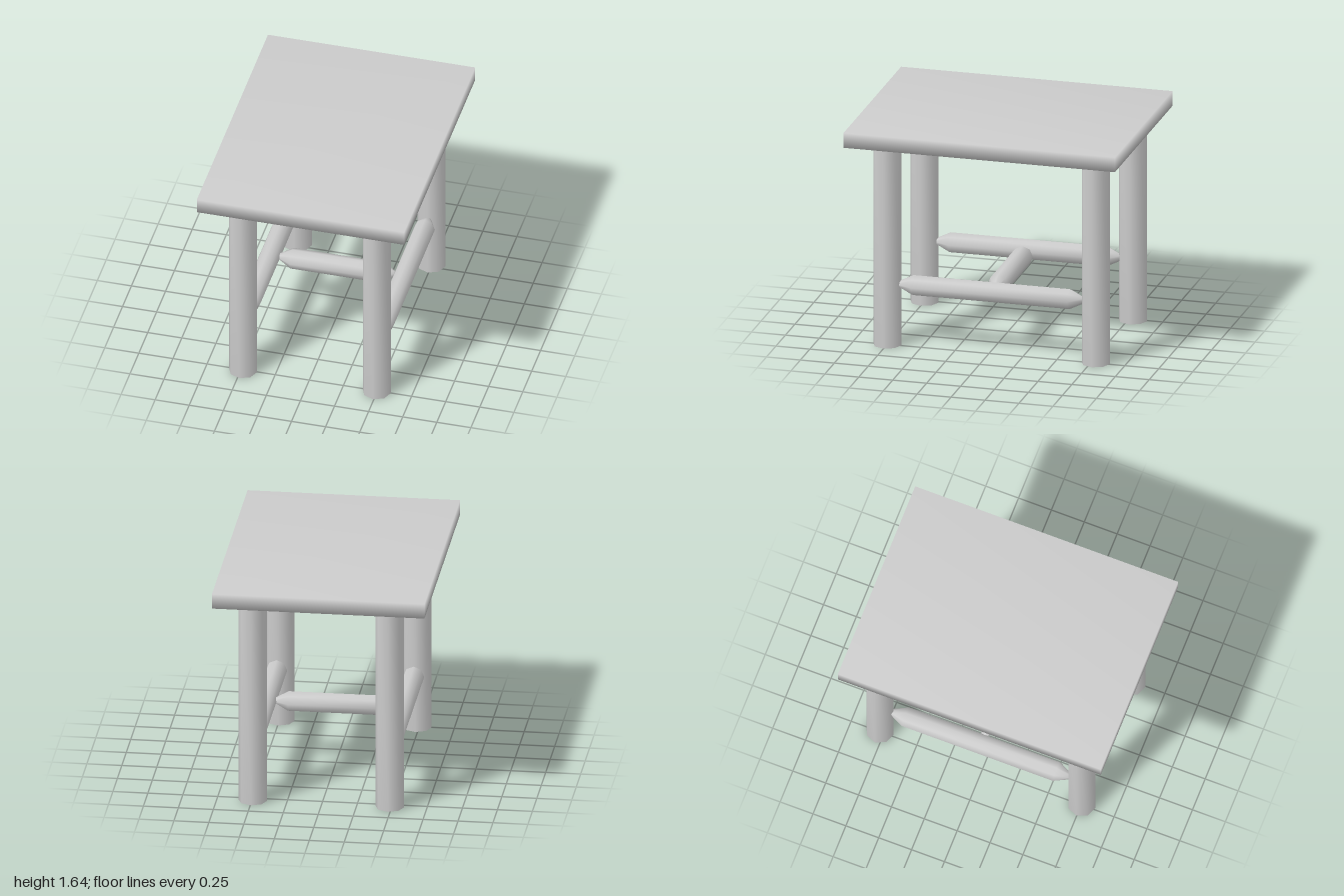
import * as THREE from 'three';
import { mergeVertices } from 'three/addons/utils/BufferGeometryUtils.js';

const material = new THREE.MeshStandardMaterial({ color: 0xcccccc });

// Weld all corners so the shading runs softly over every edge
function soften(geometry) {
  geometry.deleteAttribute('normal');
  geometry.deleteAttribute('uv');
  const welded = mergeVertices(geometry, 1e-4);
  welded.computeVertexNormals();
  return welded;
}

// Eight-sided turned piece from [radius, height] pairs, closed at both ends
function turned(profile) {
  const points = profile.map(([r, y]) => new THREE.Vector2(r, y));
  return soften(new THREE.LatheGeometry(points, 8));
}

// Round bar with tapered ends, lying along its own y axis
function bar(halfLength, taper) {
  const r = 0.075, tip = 0.025;
  return turned([
    [0, -halfLength], [tip, -halfLength], [r, taper - halfLength],
    [r, halfLength - taper], [tip, halfLength], [0, halfLength],
  ]);
}

export function createModel() {
  const model = new THREE.Group();
  const add = (name, geometry, x, y, z) => {
    const mesh = new THREE.Mesh(geometry, material);
    mesh.name = name;
    mesh.position.set(x, y, z);
    model.add(mesh);
    return mesh;
  };

  // Top board
  add('tableTop', soften(new THREE.BoxGeometry(1.52, 0.11, 2)), 0, 1.59, 0);

  // Legs, and a long stretcher between front and back on each side
  const legHeight = 1.535, barY = 0.46, midZ = -0.0175;
  const leg = turned([[0, 0], [0.103, 0], [0.103, legHeight], [0, legHeight]]);
  const sideBar = bar(0.675, 0.1);
  for (const [side, x] of [['right', -0.485], ['left', 0.495]]) {
    add(side + 'FrontLeg', leg, x, 0, 0.75);
    add(side + 'BackLeg', leg, x, 0, -0.785);
    add(side + 'Stretcher', sideBar, x, barY, midZ).rotation.x = Math.PI / 2;
  }

  // Cross stretcher joining the two side stretchers
  add('crossStretcher', bar(0.42, 0.09), 0.005, barY, midZ).rotation.z = Math.PI / 2;

  return model;
}
